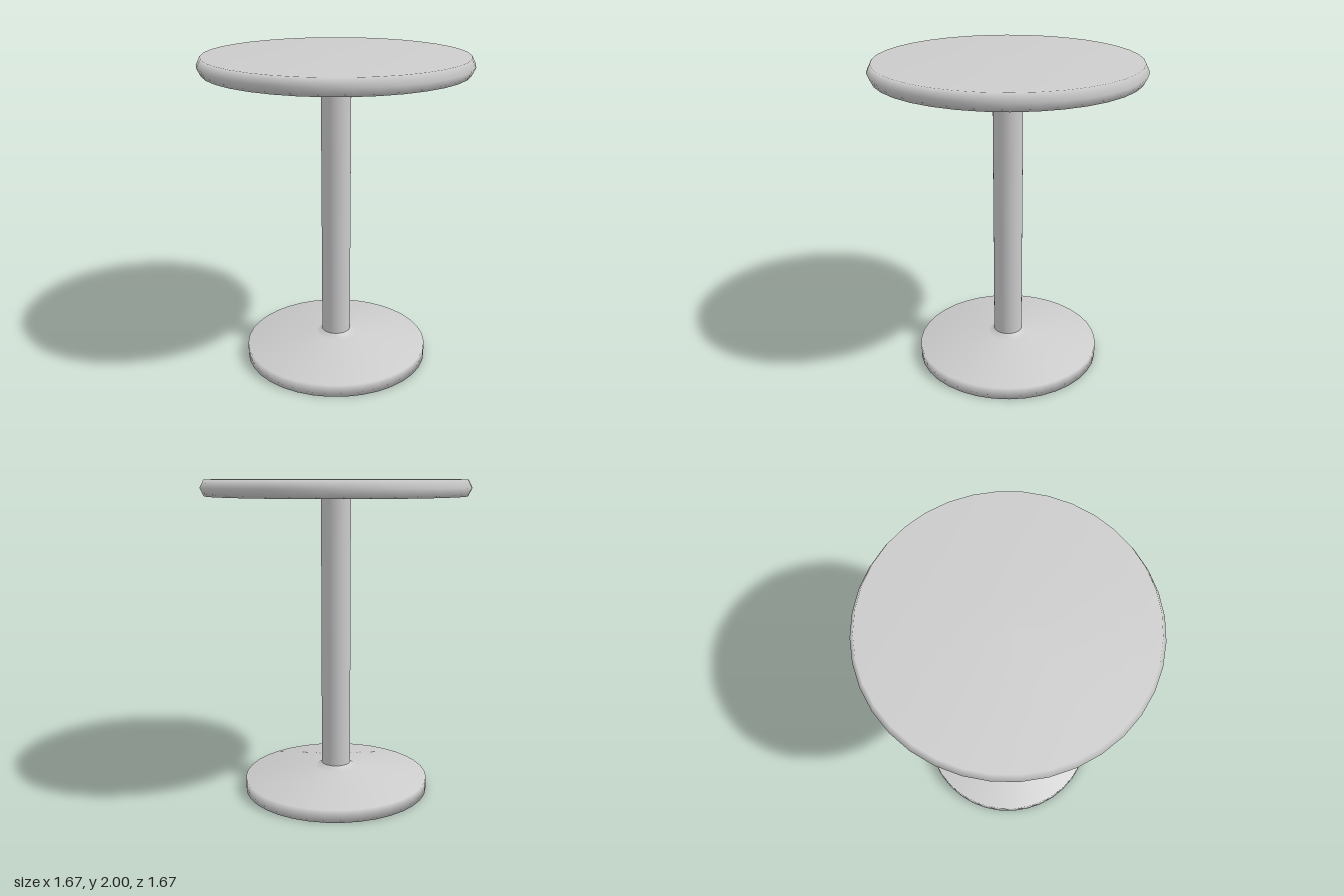
import * as THREE from 'three';

const SIDES = 36;

export function createModel() {
  const group = new THREE.Group();
  group.name = 'pedestalTable';

  const paleGrey = new THREE.MeshStandardMaterial({ color: 0xcccccc });
  paleGrey.name = 'pale grey';

  // Turns a profile of [radius, height] pairs, listed from bottom to top
  const turn = (name, profile) => {
    const points = profile.map(([r, y]) => new THREE.Vector2(r, y));
    const mesh = new THREE.Mesh(new THREE.LatheGeometry(points, SIDES), paleGrey);
    mesh.name = name;
    group.add(mesh);
  };

  // Weighted foot: upright rim, shallow cone and small collar
  turn('base', [[0, 0], [0.595, 0], [0.595, 0.08], [0.13, 0.138], [0.093, 0.165]]);

  // Straight post from collar to tabletop
  turn('column', [[0.093, 0.165], [0.093, 1.9]]);

  // Round top with a pointed, bevelled edge
  turn('tabletop', [[0, 1.9], [0.81, 1.9], [0.835, 1.95], [0.81, 2], [0, 2]]);

  return group;
}
